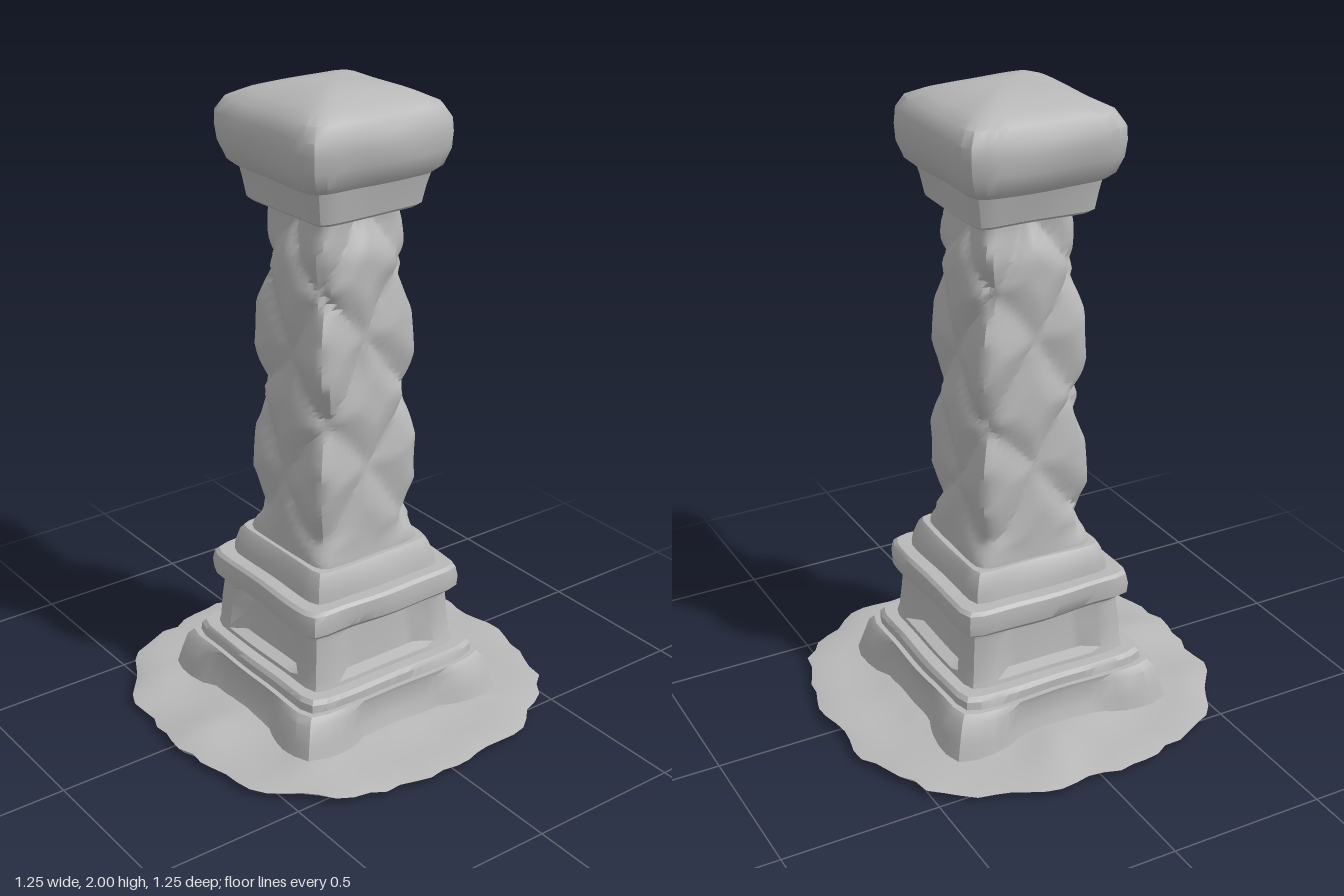
import * as THREE from 'three';
import { toCreasedNormals } from 'three/addons/utils/BufferGeometryUtils.js';

const stone = new THREE.MeshStandardMaterial({ color: 0xb8b8b8 });
stone.name = 'greyStone';

// Smooth irregularity used to weather every part
const wear = (x, y, z) =>
  (Math.sin(x * 17 + y * 9 + 1.3) + Math.sin(z * 19 - y * 13 + 0.4) + Math.sin((x - z) * 11 + y * 23)) / 3;

// Closed surface from rings of points; rings run bottom to top
function loft(name, around, rows, point, crease = 0.6) {
  const pos = [], index = [];
  for (let j = 0; j < rows; j++)
    for (let i = 0; i < around; i++) pos.push(...point((i / around) * Math.PI * 2, j));
  for (let j = 0; j < rows - 1; j++)
    for (let i = 0; i < around; i++) {
      const k = (i + 1) % around;
      const a = j * around + i, b = j * around + k, c = b + around, d = a + around;
      if (j > 0) index.push(a, b, c);
      if (j < rows - 2) index.push(a, c, d);
      else if (j === 0) index.push(a, b, c);
    }
  const g = new THREE.BufferGeometry();
  g.setAttribute('position', new THREE.Float32BufferAttribute(pos, 3));
  g.setIndex(index);
  const mesh = new THREE.Mesh(toCreasedNormals(g, crease), stone);
  mesh.name = name;
  return mesh;
}

// Point on a rounded square of half-width r; higher p gives sharper corners
function square(t, r, p = 14) {
  const s = Math.sin(t), c = Math.cos(t);
  const k = r / Math.pow(Math.abs(s) ** p + Math.abs(c) ** p, 1 / p);
  return [s * k, c * k];
}

// Position across a face: 0 at its middle, 1 at the corner
function across(t) {
  const s = Math.abs(Math.sin(t)), c = Math.abs(Math.cos(t));
  return Math.min(s, c) / Math.max(s, c);
}

// Square block from a [half-width, height, recess] profile
function block(name, profile, { p = 14, rough = 0.007, panel = 0.6, x = 0 } = {}) {
  const rows = [[0, profile[0][1], 0], ...profile, [0, profile[profile.length - 1][1], 0]];
  return loft(name, 64, rows.length, (t, j) => {
    const [r, y, recess = 0] = rows[j];
    const inset = recess * THREE.MathUtils.smoothstep(panel + 0.08 - across(t), 0, 0.12);
    const [px, pz] = square(t, Math.max(r - inset, 0), p);
    const n = r ? 1 + (rough * wear(px, y, pz)) / r : 1;
    return [px * n + x, y + (r ? rough * 0.5 * wear(pz, y, px) : 0), pz * n];
  });
}

// Shaft carved with staggered, bulging diamond stones
function shaft() {
  const rows = 62, y0 = 0.54, y1 = 1.65;
  return loft('carvedShaft', 64, rows, (t, j) => {
    const v = (j - 1) / (rows - 3);
    const y = THREE.MathUtils.clamp(y0 + (y1 - y0) * v, y0, y1);
    if (j === 0 || j === rows - 1) return [0, y, 0];
    const u = (t / Math.PI) * 4 + 0.1 * Math.sin(y * 9 + t);
    const h = (y - 0.62) / 0.205 + 0.18 * Math.sin(2 * t + 1);
    const tri = q => Math.abs(q - 2 * Math.round(q / 2)); // 0 on a groove, 1 mid-stone
    const edge = Math.min(tri(u + h + 1), tri(u - h + 1));
    const bulge = Math.min(1, edge * 1.7) ** 0.75;
    const fade = THREE.MathUtils.smoothstep(y, 0.55, 0.66);
    const corner = across(t) ** 3;
    const depth = (0.024 + 0.022 * corner) * (1 - bulge) * fade;
    const neck = 0.028 * THREE.MathUtils.smoothstep(y, 1.5, 1.63);
    const r = 0.199 - 0.026 * v - depth - neck + 0.005 * wear(Math.sin(t) * 0.3, y, Math.cos(t) * 0.3);
    const [x, z] = square(t, r, 9);
    return [x, y, z];
  }, 0.7);
}

// Ragged patch of ground, mounded toward the pedestal
function ground() {
  const rings = [[0, 0.012], [0.5, 0.01], [0.97, 0.008], [1, 0.022], [0.94, 0.03], [0.84, 0.03],
    [0.74, 0.032], [0.65, 0.038], [0.56, 0.048], [0.4, 0.05], [0, 0.05]];
  const mounds = [[-0.46, -0.08, 0.03], [0.02, 0.52, 0.024], [-0.33, 0.47, 0.022], [0.36, 0.36, 0.02]];
  return loft('groundPatch', 80, rings.length, (t, j) => {
    const [f, h] = rings[j];
    const ragged = 0.008 * Math.sin(t * 23 + 2 * Math.sin(t * 5)) + 0.007 * Math.sin(t * 13 + 1);
    const [x, z] = square(t, (0.617 + ragged) * f, 2.5);
    let y = h;
    if (j > 2 && f) {
      y += 0.006 * wear(x, 0, z);
      for (const [mx, mz, mh] of mounds)
        y += mh * Math.exp(-((x - mx) ** 2 + (z - mz) ** 2) / 0.006) * (1 - f ** 8);
    } else if (f) y = Math.max(0, y + 0.008 * wear(x, 1, z));
    return [x, y, z];
  });
}

export function createModel() {
  const model = new THREE.Group();
  model.name = 'stonePillar';
  model.add(
    ground(),
    // Stepped foot with projecting corner blocks
    block('foot', [[0.39, 0.015, 0.02], [0.375, 0.08, 0.03], [0.36, 0.145, 0.02], [0.345, 0.165, 0]], { panel: 0.5 }),
    block('footStep', [[0.33, 0.14], [0.328, 0.19], [0.318, 0.203]]),
    // Pedestal with a sunken panel on each side
    block('pedestal', [[0.285, 0.19], [0.28, 0.215], [0.277, 0.225, 0.035], [0.268, 0.3, 0.035],
      [0.262, 0.36, 0.032], [0.262, 0.375], [0.268, 0.4]], { rough: 0.005 }),
    block('pedestalMoulding', [[0.265, 0.375], [0.287, 0.395], [0.292, 0.43], [0.288, 0.462], [0.278, 0.472]],
      { rough: 0.008 }),
    block('shaftPlinth', [[0.24, 0.46], [0.236, 0.5], [0.222, 0.545], [0.212, 0.56]]),
    shaft(),
    // Capital: flared neck and a worn, domed top stone
    block('capitalNeck', [[0.178, 1.635], [0.19, 1.645], [0.2, 1.7], [0.212, 1.755]], { rough: 0.005 }),
    block('capitalStone', [[0.218, 1.74], [0.24, 1.76], [0.259, 1.81], [0.264, 1.86], [0.261, 1.9],
      [0.238, 1.94], [0.19, 1.965], [0.13, 1.985], [0.06, 1.996], [0.01, 1.999]],
    { p: 10, rough: 0.006, x: -0.004 }),
  );
  return model;
}
